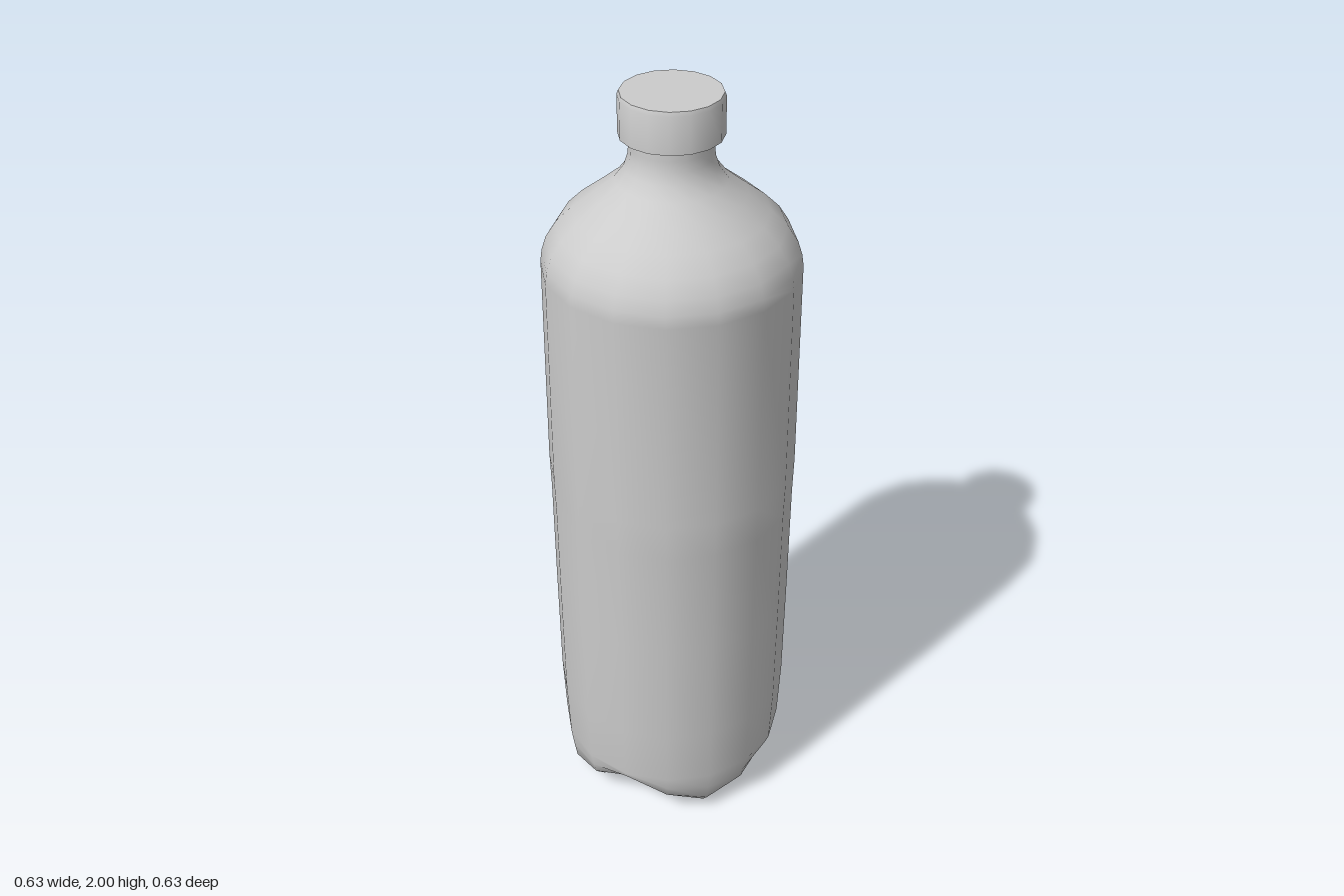
import * as THREE from 'three';
import { mergeVertices, toCreasedNormals } from 'three/addons/utils/BufferGeometryUtils.js';

const SIDES = 16;

// Turned shape with welded seam; points run along the outline as [radius, height]
function turned(points) {
  const geo = new THREE.LatheGeometry(points.map(([r, y]) => new THREE.Vector2(r, y)), SIDES);
  geo.deleteAttribute('normal');
  geo.deleteAttribute('uv');
  return mergeVertices(geo, 1e-4);
}

// Raise the valleys between the four feet of the base
function shapeFeet(geo) {
  const pos = geo.attributes.position;
  for (let i = 0; i < pos.count; i++) {
    const x = pos.getX(i), y = pos.getY(i), z = pos.getZ(i);
    const r = Math.hypot(x, z);
    if (y > 0.125 || r < 0.01) continue;
    const fromFoot = Math.atan2(z, x) - Math.PI / 8;
    const w = Math.pow(Math.max(0, 0.5 - 0.5 * Math.cos(4 * fromFoot)), 1.5);
    const valley = 0.065 + 0.06 * (r / 0.295) ** 2;
    pos.setY(i, THREE.MathUtils.lerp(y, Math.max(y, valley), w));
  }
}

export function createModel() {
  const bottle = new THREE.Group();
  bottle.name = 'bottle';
  const material = new THREE.MeshStandardMaterial({ color: 0xcccccc });

  // Body: footed base, slightly tapered wall, sloping shoulder and neck
  const bodyGeo = turned([
    [0, 0.065], [0.08, 0.062], [0.115, 0.045], [0.145, 0.015], [0.18, 0.002],
    [0.22, 0.002], [0.255, 0.014], [0.282, 0.045], [0.29, 0.09], [0.297, 0.14],
    [0.305, 0.3], [0.309, 0.6], [0.312, 0.9], [0.315, 1.0], [0.315, 1.56],
    [0.311, 1.59], [0.3, 1.625], [0.275, 1.665], [0.235, 1.705], [0.18, 1.748],
    [0.135, 1.785], [0.112, 1.815], [0.102, 1.845], [0.1, 1.87], [0.1, 1.93],
  ]);
  shapeFeet(bodyGeo);
  bodyGeo.computeVertexNormals();
  const body = new THREE.Mesh(bodyGeo, material);
  body.name = 'body';

  // Screw cap with a small bevel on its upper rim
  const capGeo = toCreasedNormals(turned([
    [0, 1.897], [0.125, 1.897], [0.125, 1.99], [0.121, 2], [0, 2],
  ]), Math.PI / 5);
  const cap = new THREE.Mesh(capGeo, material);
  cap.name = 'cap';

  bottle.add(body, cap);
  return bottle;
}
